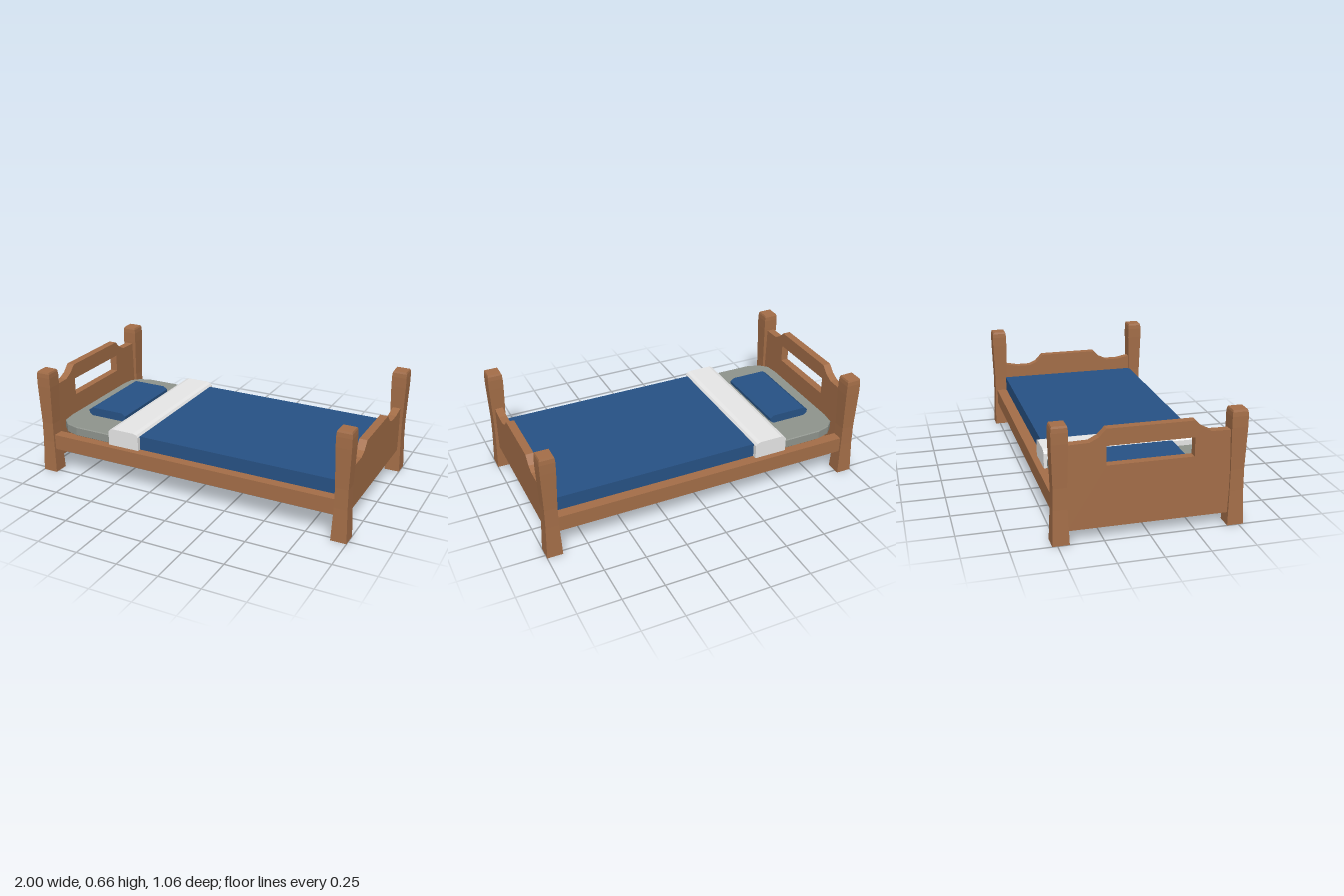
import * as THREE from 'three';

const material = (name, color) => {
  const m = new THREE.MeshStandardMaterial({ color });
  m.name = name;
  return m;
};

// Faceted copy of a geometry
function faceted(geometry) {
  const g = geometry.index ? geometry.toNonIndexed() : geometry;
  g.computeVertexNormals();
  return g;
}

const shapeOf = (pts) => new THREE.Shape(pts.map(([x, y]) => new THREE.Vector2(x, y)));

// Closed outline from its right half, listed bottom to top
const mirrored = (half) => [...half, ...half.map(([x, y]) => [-x, y]).reverse()];

export function createModel() {
  const bed = new THREE.Group();
  bed.name = 'bed';
  const wood = material('wood', 0xa46e48);
  const blue = material('blue fabric', 0x275285);
  const white = material('sheet white', 0xe8e8e8);
  const grey = material('mattress grey', 0x8f948d);

  const add = (name, geometry, mat, x = 0, y = 0, z = 0) => {
    const mesh = new THREE.Mesh(faceted(geometry), mat);
    mesh.name = name;
    mesh.position.set(x, y, z);
    bed.add(mesh);
    return mesh;
  };

  // Corner posts: square, narrow-waisted, chamfered on top
  const postProfile = [[0, 0], [0.0465, 0], [0.039, 0.2], [0.038, 0.32], [0.045, 0.56],
    [0.045, 0.62], [0.043, 0.645], [0.039, 0.656], [0, 0.656]]
    .map(([r, y]) => new THREE.Vector2(r * Math.SQRT2, y));
  for (const x of [-0.9535, 0.9535]) {
    for (const z of [-0.482, 0.482]) {
      add('post', new THREE.LatheGeometry(postProfile, 4, Math.PI / 4), wood, x, 0, z);
    }
  }

  // Shaped end boards, outlines drawn across the width
  const addBoard = (name, half, x, hole) => {
    const shape = shapeOf(mirrored(half));
    if (hole) shape.holes.push(shapeOf(hole));
    const g = new THREE.ExtrudeGeometry(shape, { depth: 0.048, bevelEnabled: false });
    g.translate(0, 0, -0.024).rotateY(Math.PI / 2);
    add(name, g, wood, x, 0, 0.004);
  };
  addBoard('headboard', [[0.45, 0.07], [0.45, 0.545], [0.327, 0.548], [0.28, 0.572], [0.238, 0.615]],
    -0.957, [[-0.238, 0.415], [-0.238, 0.522], [0.238, 0.522], [0.238, 0.415]]);
  addBoard('footboard', [[0.45, 0.143], [0.45, 0.423], [0.36, 0.405], [0.275, 0.405], [0.23, 0.425], [0.186, 0.472]],
    0.951);

  // Side rails
  for (const z of [-0.476, 0.476]) {
    add('sideRail', new THREE.BoxGeometry(1.85, 0.094, 0.066), wood, 0, 0.197, z);
  }

  // Slats under the mattress
  for (let i = 0; i < 6; i++) {
    add('slat', new THREE.BoxGeometry(0.1, 0.055, 0.9), wood, -0.8 + i * 0.32, 0.213, 0);
  }

  // Mattress end with rounded head corners
  const mattress = new THREE.ExtrudeGeometry(
    shapeOf([[-0.5, -0.45], [-0.5, 0.45], [-0.79, 0.448], [-0.87, 0.425], [-0.916, 0.38],
      [-0.927, 0.3], [-0.927, -0.3], [-0.916, -0.38], [-0.87, -0.425], [-0.79, -0.448]]),
    { depth: 0.048, bevelThickness: 0.005, bevelSize: 0.005, bevelSegments: 1 });
  mattress.rotateX(-Math.PI / 2);
  add('mattress', mattress, grey, 0, 0.246, 0);

  // Blanket
  add('blanket', new THREE.BoxGeometry(1.285, 0.088, 0.896), blue, 0.2855, 0.285, 0.002);

  // Folded sheet band
  const fold = new THREE.ExtrudeGeometry(
    shapeOf(mirrored([[0.102, 0.241], [0.102, 0.33], [0.092, 0.343], [0.07, 0.35]])),
    { depth: 0.948, bevelEnabled: false });
  add('foldedSheet', fold, white, -0.438, 0, -0.474);

  // Pillow: chamfered along its long edges, flat at its ends
  const pillow = new THREE.ExtrudeGeometry(
    shapeOf(mirrored([[0.108, 0.302], [0.132, 0.32], [0.132, 0.338], [0.108, 0.355]])),
    { depth: 0.514, bevelEnabled: false });
  add('pillow', pillow, blue, -0.692, 0, -0.257);

  return bed;
}
